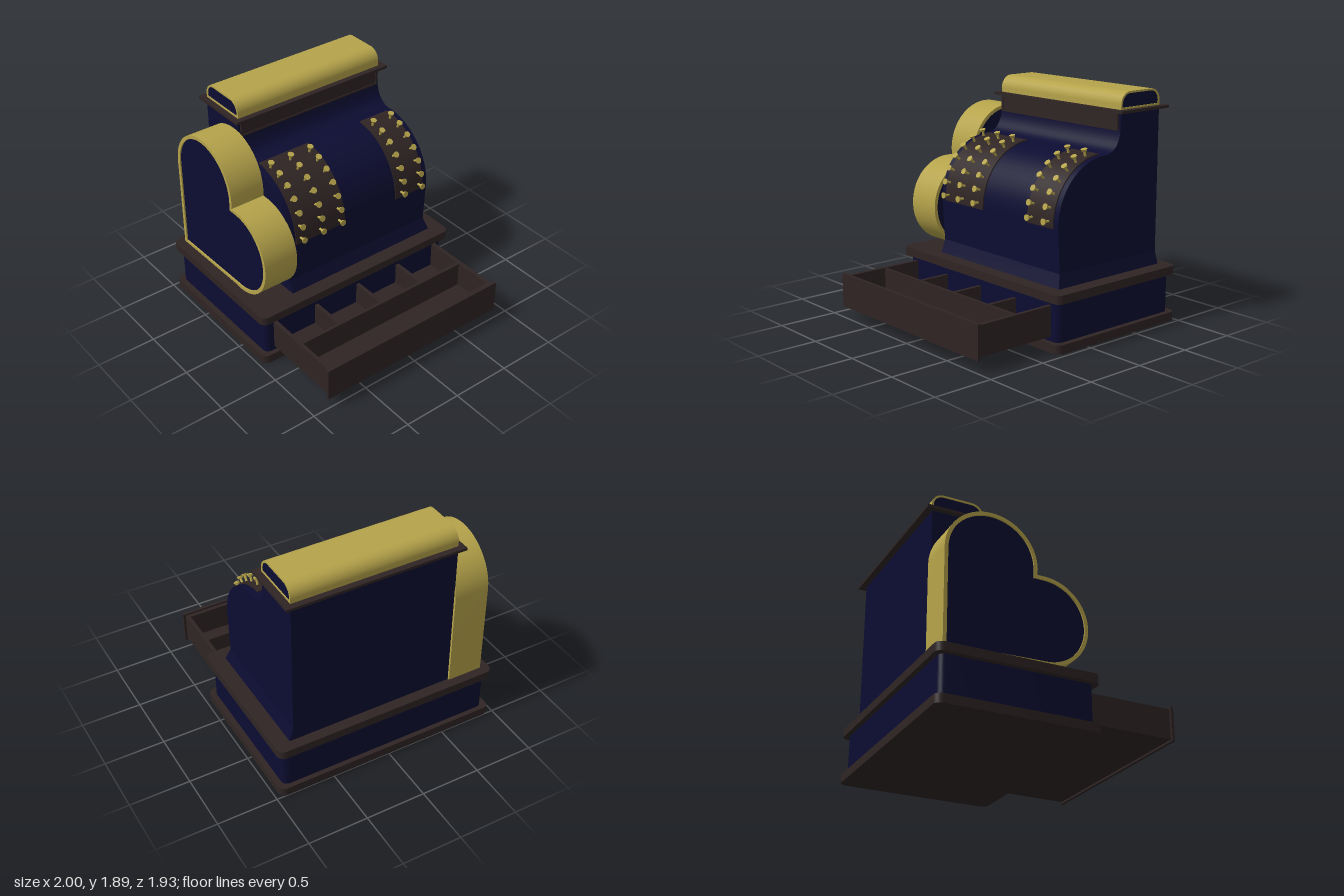
import * as THREE from 'three';
import { toCreasedNormals } from 'three/addons/utils/BufferGeometryUtils.js';

const navy = new THREE.MeshStandardMaterial({ color: 0x0c0c32 });
navy.name = 'navy enamel';
const gold = new THREE.MeshStandardMaterial({ color: 0xb5a34a });
gold.name = 'brass';
const wood = new THREE.MeshStandardMaterial({ color: 0x2f2424 });
wood.name = 'dark wood';

const rad = THREE.MathUtils.degToRad;

function add(parent, name, geometry, material) {
  const mesh = new THREE.Mesh(geometry, material);
  mesh.name = name;
  parent.add(mesh);
  return mesh;
}

// Box given by its limits on each axis
function box(parent, name, material, [x0, x1], [y0, y1], [z0, z1]) {
  const mesh = add(parent, name, new THREE.BoxGeometry(x1 - x0, y1 - y0, z1 - z0), material);
  mesh.position.set((x0 + x1) / 2, (y0 + y1) / 2, (z0 + z1) / 2);
  return mesh;
}

// Shape in the xy plane, extruded from z0 to z1 with sharp rims
function extrude(shape, z0, z1) {
  const g = new THREE.ExtrudeGeometry(shape, { depth: z1 - z0, bevelEnabled: false, curveSegments: 20 });
  g.translate(0, 0, z0);
  return toCreasedNormals(g, 0.5);
}

// Horizontal slab with rounded corners
function slab(parent, name, material, [x0, x1], [y0, y1], [z0, z1], r) {
  const s = new THREE.Shape();
  s.absarc(x1 - r, -z0 - r, r, 0, Math.PI / 2);
  s.absarc(x0 + r, -z0 - r, r, Math.PI / 2, Math.PI);
  s.absarc(x0 + r, -z1 + r, r, Math.PI, Math.PI * 1.5);
  s.absarc(x1 - r, -z1 + r, r, Math.PI * 1.5, Math.PI * 2);
  s.closePath();
  return add(parent, name, extrude(s, y0, y1).rotateX(-Math.PI / 2), material);
}

// Heart outline shrunk inwards by d
function heartShape(d) {
  const s = new THREE.Shape();
  s.moveTo(-0.93 + d, 0.465 + d * 0.8);
  s.lineTo(-0.16, 0.485 + d * 0.8);
  s.absarc(-0.11, 0.845, 0.365 - d, -Math.PI / 2, Math.PI / 2);
  s.lineTo(-0.17 - d, 1.21 - d);
  s.absarc(-0.55, 1.26, 0.382 - d, 0, Math.PI);
  s.closePath();
  return s;
}

// Arched cap outline shrunk inwards by d
function capShape(d) {
  const x0 = -0.915 + d, x1 = -0.48 - d, y0 = 1.752 + d, y1 = 1.89 - d, r = 0.1 - d;
  const s = new THREE.Shape();
  s.moveTo(x0, y0);
  s.lineTo(x1, y0);
  s.absarc(x1 - r, y1 - r, r, 0, Math.PI / 2);
  s.absarc(x0 + r, y1 - r, r, Math.PI / 2, Math.PI);
  s.closePath();
  return s;
}

function ringed(shapeOf, d) {
  const s = shapeOf(0);
  s.holes.push(new THREE.Path(shapeOf(d).getPoints(20)));
  return s;
}

export function createModel() {
  const model = new THREE.Group();
  model.name = 'cashRegister';

  // Base
  const base = new THREE.Group();
  base.name = 'base';
  model.add(base);
  slab(base, 'bottomPlinth', wood, [-1, 0.31], [0, 0.072], [-0.963, 0.963], 0.06);
  slab(base, 'baseBody', navy, [-0.96, 0.27], [0.072, 0.39], [-0.917, 0.917], 0.05);
  slab(base, 'topPlinth', wood, [-1, 0.31], [0.39, 0.46], [-0.963, 0.963], 0.06);

  // Open drawer with compartments
  const drawer = new THREE.Group();
  drawer.name = 'drawer';
  model.add(drawer);
  box(drawer, 'drawerFloor', wood, [0.25, 0.978], [0.11, 0.135], [-0.84, 0.84]);
  for (const s of [-1, 1]) {
    const z = [s * 0.84, s * 0.808].sort((a, b) => a - b);
    box(drawer, 'drawerSide', wood, [0.25, 0.978], [0.135, 0.355], z);
  }
  box(drawer, 'drawerEnd', wood, [0.942, 0.978], [0.135, 0.355], [-0.808, 0.808]);
  box(drawer, 'drawerFront', wood, [0.976, 1], [0.093, 0.371], [-0.86, 0.86]);
  box(drawer, 'longDivider', wood, [0.588, 0.614], [0.135, 0.35], [-0.808, 0.808]);
  for (const z of [-0.428, -0.006, 0.42]) {
    box(drawer, 'crossDivider', wood, [0.25, 0.588], [0.135, 0.32], [z - 0.016, z + 0.016]);
  }

  // Curved body with narrow neck
  const cx = -0.32, cy = 0.93;
  const profile = new THREE.Shape();
  profile.moveTo(-0.912, 0.46);
  profile.lineTo(0.15, 0.46);
  profile.lineTo(0.15, 0.567);
  profile.absarc(cx, cy, 0.49, 0, rad(92));
  profile.quadraticCurveTo(-0.46, 1.44, -0.48, 1.59);
  profile.lineTo(-0.48, 1.735);
  profile.lineTo(-0.912, 1.735);
  profile.closePath();
  add(model, 'body', extrude(profile, -0.803, 0.59), navy);

  // Flared foot: a box whose lower corners spread outwards
  const foot = new THREE.BoxGeometry(1.062, 0.107, 1.39).translate(-0.381, 0.5135, -0.108);
  const p = foot.attributes.position;
  for (let i = 0; i < p.count; i++) {
    if (p.getY(i) > 0.5) continue;
    if (p.getX(i) > 0) p.setX(i, 0.188);
    if (p.getZ(i) < 0) p.setZ(i, -0.835);
  }
  foot.computeVertexNormals();
  add(model, 'flaredFoot', foot, navy);

  // Neck panel with raised frame
  const panel = new THREE.Group();
  panel.name = 'neckPanel';
  model.add(panel);
  box(panel, 'panelField', wood, [-0.485, -0.472], [1.59, 1.725], [-0.785, 0.572]);
  for (const y of [1.59, 1.711]) {
    box(panel, 'panelRail', wood, [-0.485, -0.464], [y, y + 0.014], [-0.785, 0.572]);
  }
  for (const z of [-0.785, 0.558]) {
    box(panel, 'panelStile', wood, [-0.485, -0.464], [1.604, 1.711], [z, z + 0.014]);
  }

  // Top ledge and arched cap
  box(model, 'topLedge', wood, [-0.965, -0.432], [1.73, 1.752], [-0.86, 0.632]);
  add(model, 'capShell', extrude(ringed(capShape, 0.016), -0.805, 0.587), gold);
  add(model, 'capEnds', extrude(capShape(0.016), -0.8, 0.582), navy);

  // Heart-shaped front
  add(model, 'heartRim', extrude(ringed(heartShape, 0.03), 0.588, 0.887), gold);
  add(model, 'heartFace', extrude(heartShape(0.03), 0.589, 0.875), navy);

  // Key plates and keys, spread around the curved body
  const stem = new THREE.CylinderGeometry(0.01, 0.01, 0.07, 8);
  const head = new THREE.CylinderGeometry(0.026, 0.02, 0.018, 12);
  const banks = [
    { z: [0.06, 0.537], columns: [0.495, 0.308, 0.12] },
    { z: [-0.755, -0.465], columns: [-0.522, -0.706] },
  ];
  for (const bank of banks) {
    const group = new THREE.Group();
    group.name = 'keyBank';
    model.add(group);
    const plate = new THREE.Shape();
    plate.absarc(cx, cy, 0.5, rad(-2), rad(87), false);
    plate.absarc(cx, cy, 0.46, rad(87), rad(-2), true);
    plate.closePath();
    add(group, 'keyPlate', extrude(plate, ...bank.z), wood);
    for (const z of bank.columns) {
      for (let row = 0; row < 7; row++) {
        const key = new THREE.Group();
        const a = rad(4 + row * 12);
        key.name = 'key';
        key.position.set(cx + 0.49 * Math.cos(a), cy + 0.49 * Math.sin(a), z);
        key.rotation.z = a - Math.PI / 2;
        add(key, 'keyStem', stem, gold).position.y = 0.025;
        add(key, 'keyHead', head, gold).position.y = 0.06;
        group.add(key);
      }
    }
  }
  return model;
}
